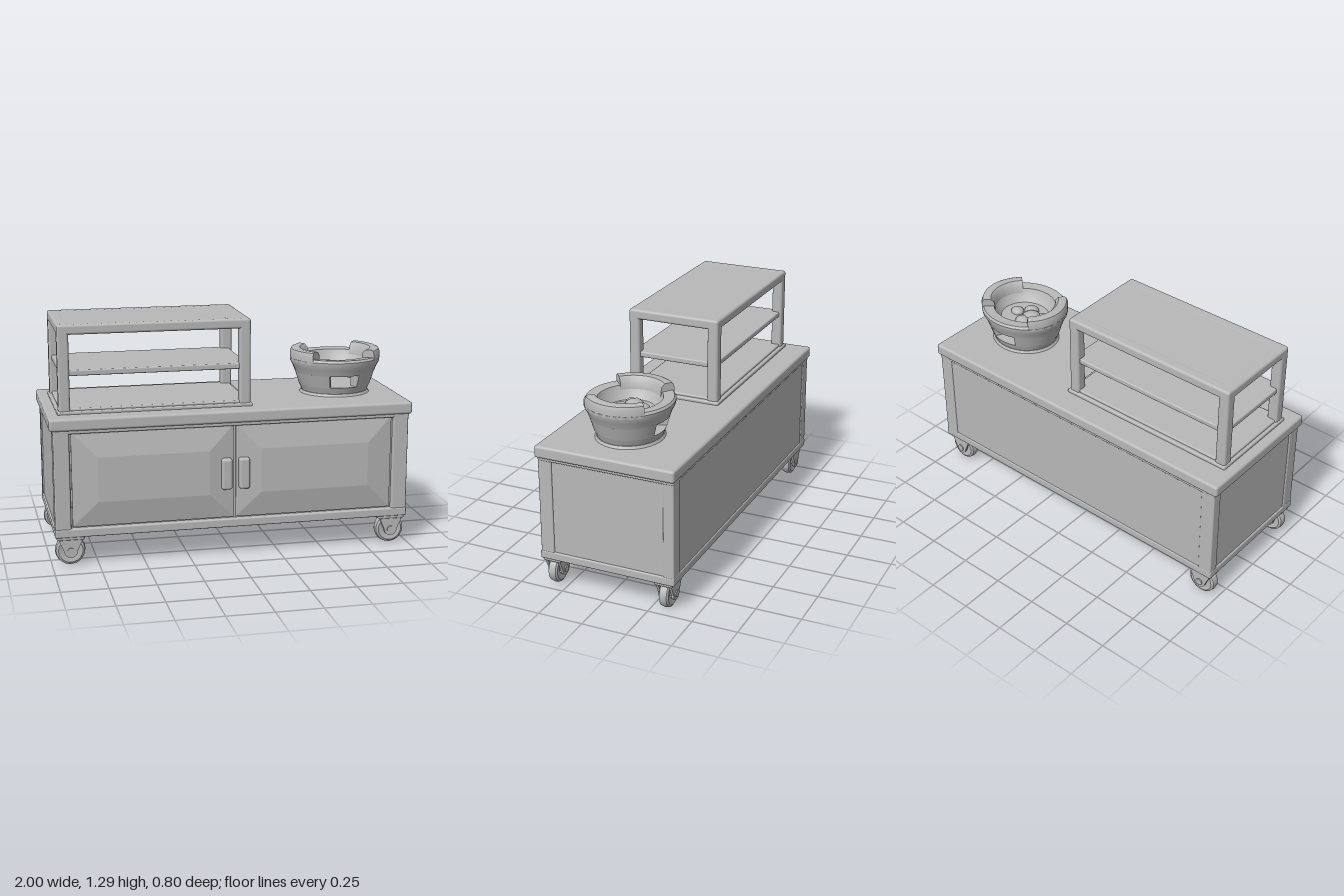
import * as THREE from 'three';
import { RoundedBoxGeometry } from 'three/addons/geometries/RoundedBoxGeometry.js';
import { mergeGeometries, toCreasedNormals } from 'three/addons/utils/BufferGeometryUtils.js';

const grey = new THREE.MeshStandardMaterial({ color: 0xb8b8b8, side: THREE.DoubleSide });
grey.name = 'light grey';

function add(parent, name, geometry) {
  const mesh = new THREE.Mesh(geometry, grey);
  mesh.name = name;
  parent.add(mesh);
  return mesh;
}

// Box given by its low and high corners, with softly rounded edges
function block(parent, name, [x0, y0, z0], [x1, y1, z1], r = 0.008) {
  const geo = new RoundedBoxGeometry(x1 - x0, y1 - y0, z1 - z0, 3, r);
  geo.translate((x0 + x1) / 2, (y0 + y1) / 2, (z0 + z1) / 2);
  return add(parent, name, geo);
}

function makeCabinet() {
  const g = new THREE.Group();
  g.name = 'cabinet';
  block(g, 'carcass', [-0.975, 0.17, -0.385], [0.975, 0.76, 0.352]);
  block(g, 'worktop', [-1, 0.748, -0.4], [1, 0.815, 0.388], 0.014);
  block(g, 'worktopUnderside', [-0.985, 0.73, -0.391], [0.985, 0.755, 0.378]);
  block(g, 'bottomRail', [-0.984, 0.163, -0.391], [0.984, 0.21, 0.382]);
  for (const s of [-1, 1]) {
    const [a, b] = [s * 0.896, s * 0.982].sort((p, q) => p - q);
    block(g, 'frontStile', [a, 0.17, 0.3], [b, 0.75, 0.378]);
    const [c, d] = [s * 0.9, s * 0.982].sort((p, q) => p - q);
    block(g, 'backStile', [c, 0.17, -0.39], [d, 0.75, -0.33]);

    // Raised door panel with wide sloping borders
    const w = 0.605, h = 0.245, slope = 0.138;
    const panel = new THREE.Shape([
      new THREE.Vector2(-w / 2, -h / 2), new THREE.Vector2(w / 2, -h / 2),
      new THREE.Vector2(w / 2, h / 2), new THREE.Vector2(-w / 2, h / 2),
    ]);
    const door = new THREE.ExtrudeGeometry(panel, {
      depth: 0.02, bevelEnabled: true, bevelSize: slope, bevelThickness: 0.026, bevelSegments: 1,
    });
    door.translate(s * 0.446, 0.477, 0.342);
    add(g, 'door', door);

    const [e, f] = [s * 0.02, s * 0.078].sort((p, q) => p - q);
    block(g, 'doorHandle', [e, 0.38, 0.35], [f, 0.553, 0.403], 0.014);
  }
  return g;
}

function makeShelf() {
  const g = new THREE.Group();
  g.name = 'displayShelf';
  const x0 = -0.937, x1 = 0.108, z0 = -0.25, z1 = 0.28, t = 0.062;
  block(g, 'basePlate', [x0 - 0.008, 0.81, z0 - 0.01], [x1 + 0.01, 0.832, z1 + 0.006]);
  block(g, 'bottomShelf', [x0 + 0.01, 0.815, z0 + 0.01], [x1 - 0.01, 0.845, z1 - 0.01]);
  block(g, 'middleShelf', [x0 + 0.015, 1.018, z0 + 0.015], [x1 - 0.015, 1.05, z1 - 0.015]);
  block(g, 'roof', [x0 + 0.01, 1.262, z0 + 0.01], [x1 - 0.01, 1.294, z1 - 0.01]);
  for (const x of [x0, x1 - t]) {
    for (const z of [z0, z1 - t]) block(g, 'post', [x, 0.82, z], [x + t, 1.29, z + t], 0.014);
    block(g, 'roofEndRail', [x, 1.24, z0], [x + t, 1.295, z1], 0.014);
  }
  for (const z of [z0, z1 - t]) block(g, 'roofSideRail', [x0, 1.24, z], [x1, 1.295, z + t], 0.014);
  return g;
}

// Closed [radius, height] profile swept around y, with both ends capped
function sweep(points, start, length) {
  const pts = points.map(([r, y]) => new THREE.Vector2(r, y));
  const parts = [new THREE.LatheGeometry([...pts, pts[0]], 32, start, length).toNonIndexed()];
  if (length < Math.PI * 2 - 0.01) {
    for (const phi of [start, start + length]) {
      parts.push(new THREE.ShapeGeometry(new THREE.Shape(pts)).rotateY(phi - Math.PI / 2).toNonIndexed());
    }
  }
  return toCreasedNormals(mergeGeometries(parts), 0.7);
}

function makeStove() {
  const g = new THREE.Group();
  g.name = 'charcoalStove';
  g.position.x = 0.665;
  g.scale.z = 0.92;
  const full = Math.PI * 2, vent = 0.39, notch = 0.77;
  add(g, 'foot', new THREE.CylinderGeometry(0.19, 0.2, 0.016, 40).translate(0, 0.821, 0));
  add(g, 'stoveBase', new THREE.CylinderGeometry(0.203, 0.182, 0.05, 40).translate(0, 0.842, 0));

  // Vented wall: openings at the front and back
  const wall = [[0.203, 0.865], [0.226, 0.937], [0.15, 0.937], [0.15, 0.865]];
  for (const side of [0, Math.PI]) {
    add(g, 'ventWall', sweep(wall, side + vent, Math.PI - 2 * vent));
  }

  // Upper bowl, its floor and rim
  const bowl = [
    [0.226, 0.935], [0.24, 0.97], [0.254, 0.995], [0.256, 1.015], [0.246, 1.028],
    [0.185, 1.024], [0.17, 0.985], [0.14, 0.95], [0.14, 0.935],
  ];
  add(g, 'upperBowl', sweep(bowl, 0, full));
  add(g, 'grate', new THREE.CylinderGeometry(0.2, 0.2, 0.018, 40).translate(0, 0.945, 0));

  // Raised pot rests on the left and right
  const rest = [[0.254, 1.0], [0.256, 1.045], [0.248, 1.065], [0.235, 1.071], [0.2, 1.068], [0.182, 1.05], [0.175, 1.0]];
  for (const side of [0, Math.PI]) {
    add(g, 'potRest', sweep(rest, side + notch, Math.PI - 2 * notch));
  }

  // Charcoal lumps
  const lumps = [[-0.05, 0.0, 0.06], [-0.03, -0.06, 0.045], [0.06, 0.0, 0.04], [0.0, 0.06, 0.045], [-0.09, 0.04, 0.035]];
  lumps.forEach(([x, z, r], i) => {
    const lump = add(g, 'charcoal', new THREE.IcosahedronGeometry(r, 1));
    lump.position.set(x, 0.957, z);
    lump.scale.y = 0.65;
    lump.rotation.y = i * 1.3;
  });
  return g;
}

function makeCaster(x, z) {
  const g = new THREE.Group();
  g.name = 'caster';
  g.position.set(x, 0, z);
  block(g, 'mountPlate', [-0.075, 0.146, -0.052], [0.075, 0.172, 0.052]);
  const tyre = [[0.03, -0.02], [0.066, -0.027], [0.078, -0.02], [0.082, 0], [0.078, 0.02], [0.066, 0.027], [0.03, 0.02]];
  const wheel = add(g, 'wheel', sweep(tyre, 0, Math.PI * 2));
  wheel.rotation.x = Math.PI / 2;
  wheel.position.y = 0.082;
  const hub = add(g, 'axle', new THREE.CylinderGeometry(0.02, 0.02, 0.1, 20));
  hub.rotation.x = Math.PI / 2;
  hub.position.y = 0.082;

  // Tapered fork cheeks on both sides of the wheel
  const cheek = new THREE.Shape();
  cheek.moveTo(-0.07, 0.16);
  cheek.lineTo(-0.036, 0.08);
  cheek.absarc(0, 0.082, 0.036, Math.PI, Math.PI * 2, false);
  cheek.lineTo(0.07, 0.16);
  for (const s of [-1, 1]) {
    const plate = new THREE.ExtrudeGeometry(cheek, { depth: 0.014, bevelEnabled: false });
    plate.translate(0, 0, s * 0.037 - 0.007);
    add(g, 'forkCheek', plate);
  }
  return g;
}

export function createModel() {
  const model = new THREE.Group();
  model.name = 'foodCart';
  model.add(makeCabinet(), makeShelf(), makeStove());
  for (const x of [-0.9, 0.9]) for (const z of [-0.325, 0.322]) model.add(makeCaster(x, z));
  return model;
}
